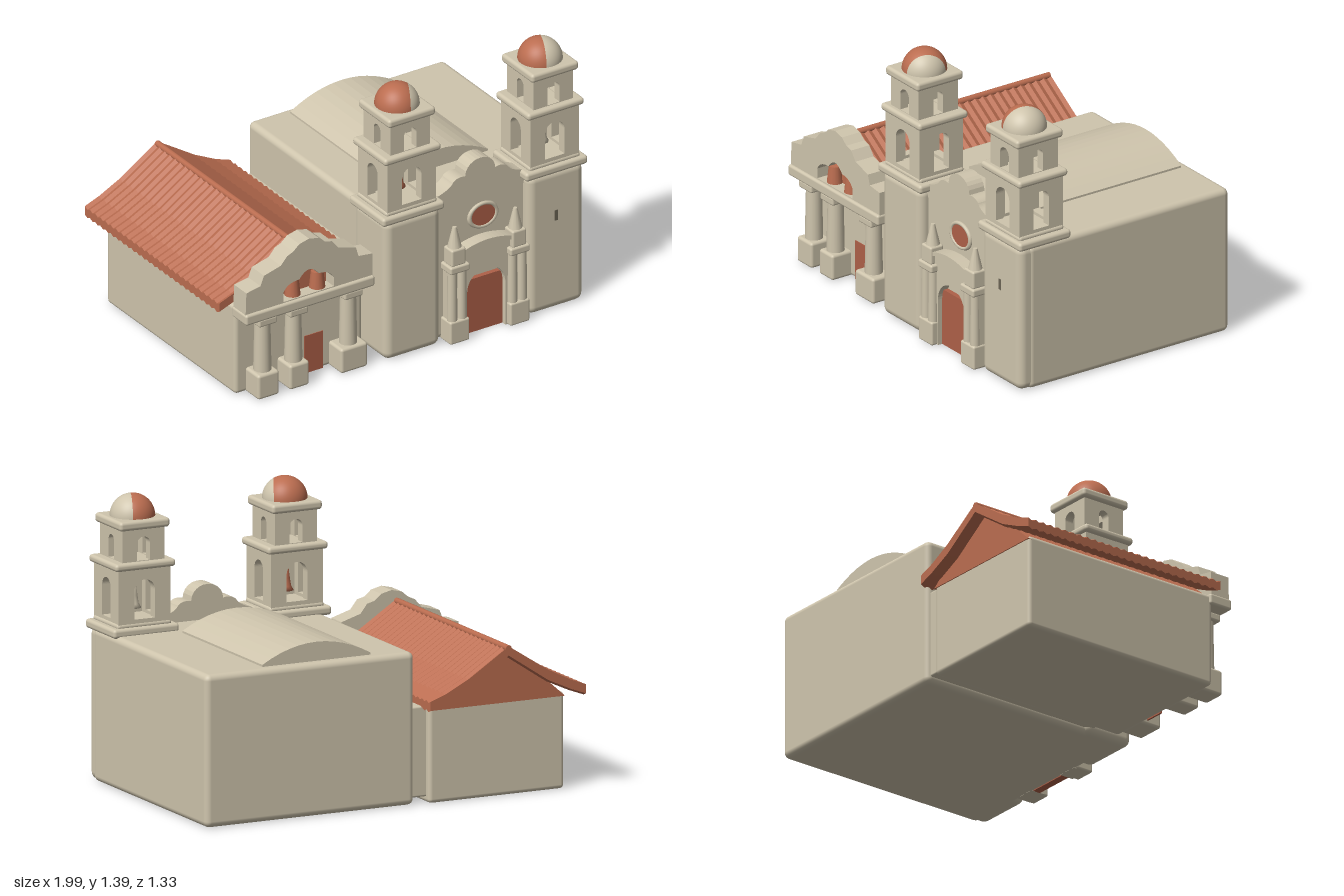
import * as THREE from 'three';
import { RoundedBoxGeometry } from 'three/addons/geometries/RoundedBoxGeometry.js';

const mat = (name, color) => Object.assign(new THREE.MeshStandardMaterial({ color }), { name });

export function createModel() {
  const stucco = mat('stucco', 0xcfc5ad);
  const tile = mat('terracotta tile', 0xbb6d50);
  const door = mat('door terracotta', 0xae6048);
  const dark = mat('slit shadow', 0x6b6454);
  const model = new THREE.Group();
  model.name = 'missionChurch';

  const add = (name, geo, material, parent = model) => {
    const m = new THREE.Mesh(geo, material);
    m.name = name;
    parent.add(m);
    return m;
  };
  // Box given by its limits, with softened edges when r > 0
  const box = (name, x0, x1, y0, y1, z0, z1, r = 0, material = stucco, parent = model) => {
    const s = [x1 - x0, y1 - y0, z1 - z0];
    const g = r ? new RoundedBoxGeometry(...s, 3, r) : new THREE.BoxGeometry(...s);
    g.translate((x0 + x1) / 2, (y0 + y1) / 2, (z0 + z1) / 2);
    return add(name, g, material, parent);
  };
  const outline = pts => new THREE.Shape(pts.map(p => new THREE.Vector2(...p)));
  const archPath = (cx, w, y0, y1) => {
    const p = new THREE.Path(), r = w / 2;
    p.moveTo(cx - r, y0).lineTo(cx + r, y0).lineTo(cx + r, y1 - r);
    p.absarc(cx, y1 - r, r, 0, Math.PI, false);
    p.lineTo(cx - r, y0);
    return p;
  };
  const slab = (shape, z0, z1, steps = 1) => new THREE.ExtrudeGeometry(shape,
    { depth: z1 - z0, bevelEnabled: false, curveSegments: 12, steps }).translate(0, 0, z0);

  // ---- Church body and barrel vault ----
  box('churchBody', -0.13, 0.98, 0, 0.74, -0.59, 0.575, 0.03);
  const vault = new THREE.Shape();
  vault.moveTo(0.08, 0.72).lineTo(0.655, 0.72).lineTo(0.655, 0.75);
  vault.quadraticCurveTo(0.37, 0.915, 0.08, 0.75);
  add('barrelVault', slab(vault, -0.54, 0.28), stucco);

  // ---- Bell towers ----
  const TZ = 0.485;
  function tier(parent, y0, y1, hx, hz, openW, a0, a1) {
    const t = 0.045;
    for (let i = 0; i < 4; i++) {
      const side = i % 2, half = side ? hz - t : hx, out = side ? hx : hz;
      const s = outline([[-half, y0], [half, y0], [half, y1], [-half, y1]]);
      s.holes.push(archPath(0, side ? openW * 0.8 : openW, a0, a1));
      add('belfryWall', slab(s, out - t, out).rotateY(i * Math.PI / 2), stucco, parent);
    }
  }
  function tower(cx, nx, nz, cut, bellMaterial) {
    const g = new THREE.Group();
    g.name = 'bellTower';
    g.position.set(cx, 0, TZ);
    model.add(g);
    const band = (name, hx, hz, y0, y1) => box(name, -hx, hx, y0, y1, -hz, hz, 0.016, stucco, g);
    box('towerShaft', -0.155, 0.16, 0, 0.745, -0.14, 0.14, 0.04, stucco, g);
    band('lowerCornice', 0.175, 0.15, 0.73, 0.775);
    band('lowerPlinth', 0.145, 0.13, 0.765, 0.795);
    tier(g, 0.77, 1.06, 0.138, 0.126, 0.11, 0.81, 1.0);
    band('middleCornice', 0.16, 0.143, 1.05, 1.087);
    tier(g, 1.08, 1.25, 0.112, 0.115, 0.07, 1.09, 1.205);
    band('upperCornice', 0.133, 0.135, 1.242, 1.287);
    // Dome in two colours, split on an upright plane
    const split = Math.acos(cut);
    [[0, split, stucco], [split, Math.PI - split, tile]].forEach(([t0, len, m]) =>
      add('dome', new THREE.SphereGeometry(0.108, 24, 20, 0, Math.PI, t0, len)
        .rotateX(-Math.PI / 2).rotateY(Math.atan2(-nx, -nz)).translate(0, 1.285, 0), m, g));
    // Bell hanging on a rod
    const profile = [[0.001, 0.95], [0.018, 0.945], [0.024, 0.9], [0.03, 0.86], [0.042, 0.84], [0.001, 0.84]];
    add('bell', new THREE.LatheGeometry(profile.reverse().map(p => new THREE.Vector2(...p)), 16), bellMaterial, g);
    add('bellRod', new THREE.CylinderGeometry(0.006, 0.006, 0.11, 8).translate(0, 1.0, 0), bellMaterial, g);
  }
  tower(-0.005 + 0.01, 0.9, 0.44, 0.5, tile);
  tower(0.815, 0.93, 0.36, 0.08, stucco);
  box('slitWindow', 0.805, 0.823, 0.475, 0.53, 0.618, 0.627, 0, dark);

  // ---- Curved parapet between the towers ----
  const CX = 0.415;
  const parapet = new THREE.Shape();
  parapet.moveTo(CX - 0.25, 0.7).lineTo(CX + 0.25, 0.7).lineTo(CX + 0.25, 0.77);
  parapet.quadraticCurveTo(CX + 0.17, 0.79, CX + 0.155, 0.82);
  parapet.quadraticCurveTo(CX + 0.13, 0.845, CX + 0.085, 0.835);
  parapet.bezierCurveTo(CX + 0.08, 0.935, CX - 0.08, 0.935, CX - 0.085, 0.835);
  parapet.quadraticCurveTo(CX - 0.13, 0.845, CX - 0.155, 0.82);
  parapet.quadraticCurveTo(CX - 0.17, 0.79, CX - 0.25, 0.77);
  add('parapet', slab(parapet, 0.49, 0.578), stucco);

  // ---- Oval window ----
  add('ovalWindow', new THREE.CylinderGeometry(1, 1, 0.009, 28).rotateX(Math.PI / 2)
    .scale(0.072, 0.055, 1).translate(0.43, 0.6, 0.578), door);
  add('ovalWindowFrame', new THREE.TorusGeometry(0.076, 0.012, 8, 28)
    .scale(1, 0.8, 1).translate(0.43, 0.6, 0.576), stucco);

  // ---- Portal ----
  const portal = new THREE.Shape();
  portal.moveTo(0.205, 0).lineTo(0.31, 0).lineTo(0.31, 0.235);
  portal.absarc(0.418, 0.235, 0.108, Math.PI, 0, true);
  portal.lineTo(0.526, 0).lineTo(0.64, 0).lineTo(0.64, 0.4).lineTo(0.545, 0.46);
  portal.quadraticCurveTo(CX + 0.005, 0.515, 0.29, 0.46);
  portal.lineTo(0.205, 0.4);
  add('portalWall', slab(portal, 0.55, 0.625), stucco);
  const ledge = new THREE.Shape();
  ledge.moveTo(0.28, 0.455).quadraticCurveTo(0.42, 0.505, 0.56, 0.455);
  ledge.lineTo(0.56, 0.475).quadraticCurveTo(0.42, 0.525, 0.28, 0.475);
  add('portalArchLedge', slab(ledge, 0.56, 0.64), stucco);
  box('churchDoor', 0.308, 0.528, 0, 0.285, 0.56, 0.6, 0, door);
  for (const [x, s] of [[0.25, -1], [0.59, 1]]) {
    box('pilasterBase', x - 0.055, x + 0.055, 0, 0.12, 0.56, 0.657, 0.01);
    for (const dx of [-0.027, 0.027])
      add('pilasterShaft', new THREE.CylinderGeometry(0.023, 0.025, 0.28, 14)
        .translate(x + dx, 0.25, 0.628), stucco);
    box('pilasterCornice', x - 0.055, x + 0.055, 0.375, 0.415, 0.56, 0.66, 0.01);
    const px = x + s * 0.002;
    box('pinnacleBase', px - 0.04, px + 0.04, 0.41, 0.5, 0.575, 0.65, 0.01);
    add('pinnacle', new THREE.CylinderGeometry(0.01, 0.036, 0.11, 12).translate(px, 0.548, 0.61), stucco);
  }

  // ---- Side chapel ----
  box('chapelBody', -0.92, -0.2, 0, 0.47, -0.6, 0.5, 0.02);
  box('linkWall', -0.22, -0.12, 0.03, 0.47, -0.57, 0.4, 0.01);
  box('chapelDoor', -0.53, -0.425, 0, 0.2, 0.495, 0.504, 0, door);
  // Gable filling under the roof
  add('gable', slab(outline([[-0.92, 0.45], [-0.2, 0.45], [-0.3, 0.53], [-0.59, 0.7], [-0.83, 0.53]]), -0.605, 0.47), tile);

  // Flared roof, rippled into rows of tiles
  const roofShape = outline([[-1, 0.46], [-0.92, 0.49], [-0.8, 0.545], [-0.59, 0.685], [-0.38, 0.545],
    [-0.26, 0.49], [-0.175, 0.46], [-0.175, 0.505], [-0.26, 0.535], [-0.38, 0.595], [-0.59, 0.73],
    [-0.8, 0.595], [-0.92, 0.535], [-1, 0.505]]);
  const roof = slab(roofShape, -0.665, 0.485, 104);
  const pos = roof.attributes.position;
  for (let i = 0; i < pos.count; i++) {
    const z = pos.getZ(i);
    pos.setY(i, pos.getY(i) + 0.005 * Math.cos((z + 0.665) / 1.15 * 26 * 2 * Math.PI));
  }
  roof.computeVertexNormals();
  add('tileRoof', roof, tile);
  add('roofRidge', new THREE.CylinderGeometry(0.016, 0.016, 1.15, 10)
    .rotateX(Math.PI / 2).translate(-0.59, 0.724, -0.09), tile);

  // Stepped pediment with an arched opening
  const pediment = outline([[-0.925, 0.45], [-0.205, 0.45], [-0.205, 0.59], [-0.285, 0.6], [-0.3, 0.65],
    [-0.4, 0.68], [-0.435, 0.725], [-0.475, 0.735], [-0.51, 0.765], [-0.565, 0.778], [-0.62, 0.765],
    [-0.655, 0.735], [-0.69, 0.72], [-0.725, 0.68], [-0.82, 0.655], [-0.84, 0.605], [-0.92, 0.59]]);
  const opening = new THREE.Path();
  opening.moveTo(-0.71, 0.48).lineTo(-0.425, 0.48).lineTo(-0.425, 0.53);
  opening.quadraticCurveTo(-0.45, 0.575, -0.51, 0.575);
  opening.quadraticCurveTo(-0.565, 0.65, -0.62, 0.575);
  opening.quadraticCurveTo(-0.69, 0.575, -0.71, 0.53);
  pediment.holes.push(opening);
  add('pediment', slab(pediment, 0.49, 0.595), stucco);
  box('pedimentBacking', -0.72, -0.415, 0.475, 0.62, 0.5, 0.53, 0, tile);
  for (const x of [-0.63, -0.49])
    add('openingPost', new THREE.CylinderGeometry(0.03, 0.04, 0.09, 14).translate(x, 0.52, 0.55), tile);

  // Porch beam and columns
  box('porchBeam', -0.93, -0.2, 0.42, 0.475, 0.48, 0.61, 0.012);
  for (const [x, hb] of [[-0.8, 0.06], [-0.625, 0.055], [-0.315, 0.075]]) {
    box('columnBase', x - hb, x + hb, 0, 0.13, 0.48, 0.608, 0.014);
    add('columnShaft', new THREE.CylinderGeometry(0.038, 0.044, 0.3, 18).translate(x, 0.26, 0.55), stucco);
    box('columnCapital', x - 0.052, x + 0.052, 0.385, 0.425, 0.49, 0.604, 0.01);
  }
  return model;
}
